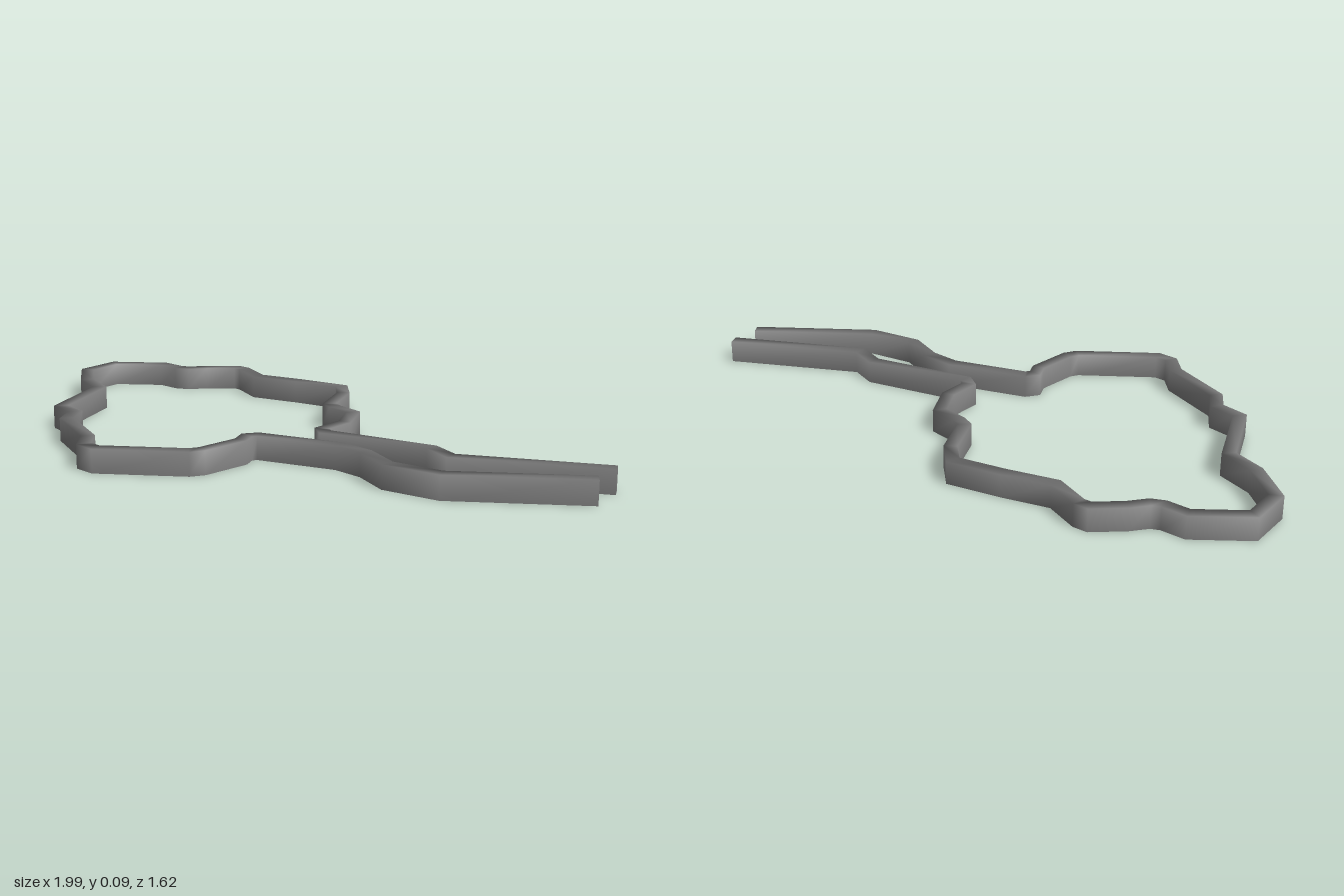
import * as THREE from 'three';

// Centre line of the wall, as [x, z] on the ground
const PATH = [
  [0.99, 0.67], [0.465, 0.556], [0.406, 0.455], [0.043, 0.275], [0.03, 0.23],
  [0.107, 0.134], [0.134, -0.005], [0.064, -0.086], [0.043, -0.128], [0.09, -0.305],
  [0.08, -0.41], [-0.09, -0.5], [-0.262, -0.578], [-0.33, -0.706], [-0.364, -0.733],
  [-0.487, -0.727], [-0.56, -0.71], [-0.604, -0.722], [-0.674, -0.78], [-0.882, -0.789],
  [-0.973, -0.663], [-0.94, -0.48], [-0.866, -0.358], [-0.952, -0.053], [-0.882, 0.03],
  [-0.893, 0.128], [-0.77, 0.364], [-0.765, 0.465], [-0.717, 0.508], [-0.4, 0.53],
  [-0.358, 0.513], [-0.24, 0.39], [-0.225, 0.332], [-0.187, 0.321], [0.096, 0.433],
  [0.187, 0.519], [0.257, 0.652], [0.428, 0.754], [0.915, 0.787],
].map(([x, z]) => new THREE.Vector2(x, z));

const HEIGHT = 0.085;
const HALF_WIDTH = 0.024;

// Sideways offset at each path point, mitred so the wall keeps its width
function mitre(i) {
  const normal = (a, b) => {
    const d = b.clone().sub(a).normalize();
    return new THREE.Vector2(-d.y, d.x);
  };
  const last = PATH.length - 1;
  const before = normal(PATH[Math.max(i - 1, 0)], PATH[Math.max(i, 1)]);
  const after = normal(PATH[Math.min(i, last - 1)], PATH[Math.min(i + 1, last)]);
  const m = before.clone().add(after).normalize();
  return m.multiplyScalar(HALF_WIDTH / m.dot(after));
}

// Rectangular section at each point: left bottom, left top, right top, right bottom
const SECTIONS = PATH.map((p, i) => {
  const m = mitre(i);
  const l = p.clone().add(m), r = p.clone().sub(m);
  return [[l.x, 0, l.y], [l.x, HEIGHT, l.y], [r.x, HEIGHT, r.y], [r.x, 0, r.y]];
});

// Strip swept through the given section corners, smooth within itself
function strip(corners) {
  const n = corners.length, positions = [], index = [];
  SECTIONS.forEach((s, i) => {
    corners.forEach((c) => positions.push(...s[c]));
    if (i === SECTIONS.length - 1) return;
    for (let k = 0; k < n - 1; k++) {
      const a = i * n + k;
      index.push(a, a + n, a + n + 1, a, a + n + 1, a + 1);
    }
  });
  return build(positions, index);
}

function build(positions, index) {
  const g = new THREE.BufferGeometry();
  g.setAttribute('position', new THREE.Float32BufferAttribute(positions, 3));
  g.setIndex(index);
  g.computeVertexNormals();
  return g;
}

export function createModel() {
  const grey = new THREE.MeshStandardMaterial({ color: 0x808080 });
  grey.name = 'wall grey';
  const group = new THREE.Group();
  group.name = 'outlineWall';
  const add = (name, geometry) => {
    const mesh = new THREE.Mesh(geometry, grey);
    mesh.name = name;
    group.add(mesh);
  };

  // Sides and top blend together, the underside is flat
  add('wallSidesAndTop', strip([0, 1, 2, 3]));
  add('wallUnderside', strip([3, 0]));

  // Flat caps on the two open ends
  add('startCap', build(SECTIONS[0].flat(), [0, 1, 2, 0, 2, 3]));
  add('endCap', build(SECTIONS[SECTIONS.length - 1].flat(), [0, 2, 1, 0, 3, 2]));
  return group;
}
